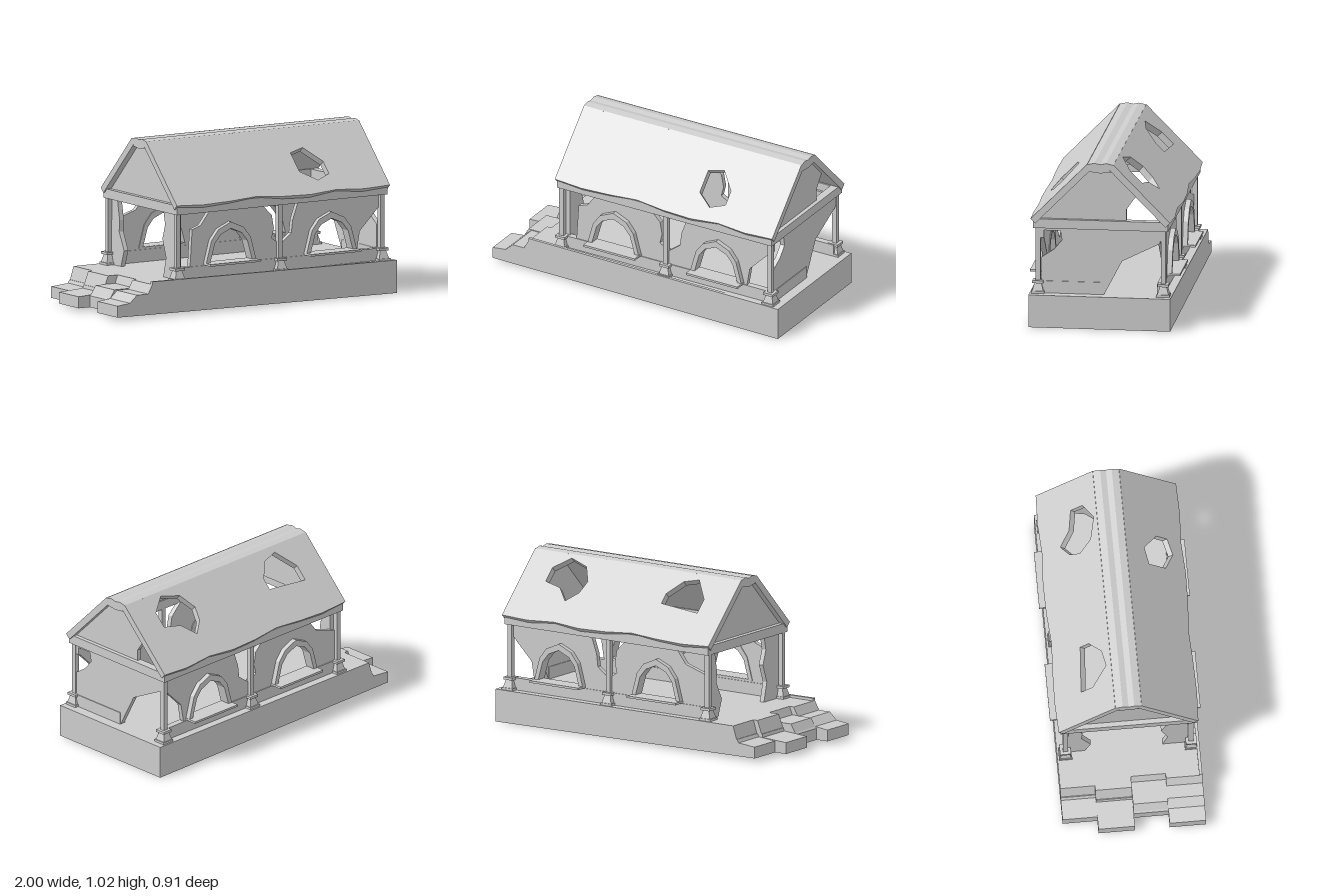
import * as THREE from 'three';

const material = new THREE.MeshStandardMaterial({ color: 0xcccccc, flatShading: true, side: THREE.DoubleSide });

function add(parent, name, geometry, x = 0, y = 0, z = 0) {
  const mesh = new THREE.Mesh(geometry, material);
  mesh.name = name;
  mesh.position.set(x, y, z);
  parent.add(mesh);
  return mesh;
}

// Box given by its lower and upper corners
function block(parent, name, [x0, y0, z0], [x1, y1, z1]) {
  return add(parent, name, new THREE.BoxGeometry(x1 - x0, y1 - y0, z1 - z0),
    (x0 + x1) / 2, (y0 + y1) / 2, (z0 + z1) / 2);
}

const path = (pts, Type = THREE.Shape) => new Type(pts.map(([x, y]) => new THREE.Vector2(x, y)));

function slab(outline, depth, holes = []) {
  const shape = path(outline);
  shape.holes = holes.map((h) => path(h, THREE.Path));
  return new THREE.ExtrudeGeometry(shape, { depth, bevelEnabled: false });
}

// Slab drawn in (z, y) and standing across x, its outer face at x
const crossSlab = (outline, x, depth) => slab(outline, depth).rotateY(-Math.PI / 2).translate(x, 0, 0);

// Hollow platform: stair profiles lofted across four staggered rows
function buildBase(group) {
  // outer edge, tread end, tread 2 start, tread 2 end, platform edge, second tread height
  const rows = [
    [-0.92, -0.80, -0.79, -0.785, -0.76, 0.12],
    [-1.00, -0.83, -0.825, -0.82, -0.79, 0.12],
    [-0.92, -0.91, -0.88, -0.74, -0.72, 0.15],
    [-1.00, -0.91, -0.86, -0.78, -0.75, 0.145],
  ];
  const profiles = rows.map(([o, a, b, c, d, h]) =>
    [[o, 0.02], [o, 0.09], [a, 0.1], [b, h], [c, h], [d, 0.2], [1, 0.2], [1, 0]]);
  const zs = [-0.43, -0.22, 0, 0.21, 0.43];
  const sections = profiles.flatMap((p, i) => [zs[i], zs[i + 1]].map((z) => p.map(([x, y]) => [x, y, z])));
  const positions = [], index = [], n = 8;
  sections.forEach((s, i) => {
    s.forEach((p) => positions.push(...p));
    if (!i) return;
    for (let j = 0; j < n - 1; j++) {
      const a = (i - 1) * n + j, b = i * n + j;
      index.push(a, b, a + 1, b, b + 1, a + 1);
    }
  });
  const shell = new THREE.BufferGeometry();
  shell.setAttribute('position', new THREE.Float32BufferAttribute(positions, 3));
  shell.setIndex(index);
  shell.computeVertexNormals();
  add(group, 'platformAndSteps', shell);
  const back = new THREE.ShapeGeometry(path(profiles[0])).rotateY(Math.PI).scale(-1, 1, 1);
  const backIndex = back.index.array;
  for (let i = 0; i < backIndex.length; i += 3) {
    [backIndex[i], backIndex[i + 1]] = [backIndex[i + 1], backIndex[i]];
  }
  // keep the back plate facing outward
  back.computeVertexNormals();
  if (back.attributes.normal.getZ(0) > 0) back.index.array.reverse();
  back.computeVertexNormals();
  add(group, 'platformBack', back, 0, 0, -0.43);
  add(group, 'platformFront', new THREE.ShapeGeometry(path(profiles[3])), 0, 0, 0.43);
  add(group, 'platformLip', slab([[-0.75, 0.19], [0.95, 0.19], [0.95, 0.201], [-0.75, 0.217]], 0.019), 0, 0, 0.411);
}

// Pointed arch outline around x = 0, standing on y
const arch = (half, y, top) => {
  const right = [[half, y], [half * 0.78, y + (top - y) * 0.58], [half * 0.5, y + (top - y) * 0.84]];
  return [...right, [0, top], ...right.map(([x, v]) => [-x, v]).reverse()];
};
const shift = (pts, dx) => pts.map(([x, y]) => [x + dx, y]);
const windowXs = [-0.17, 0.55];

// Long walls with broken edges, arched windows and sills
function buildSide(group, sign) {
  const name = sign > 0 ? 'front' : 'back';
  const leftEdge = sign > 0 ? [[-0.43, 0.5], [-0.45, 0.2]] : [[-0.53, 0.47], [-0.53, 0.2]];
  const outline = [
    [0.93, 0.2], [0.93, 0.275], [0.75, 0.275], [0.77, 0.39], [0.91, 0.53], [0.93, 0.54], [0.93, 0.61],
    [0.33, 0.61], [0.29, 0.5], [0.28, 0.42], [0.2, 0.36], [0.14, 0.4], [0.155, 0.46], [0.14, 0.54], [0.07, 0.61],
    [-0.3, 0.61], [-0.37, 0.52], ...leftEdge,
  ];
  const holes = windowXs.map((x) => shift(arch(0.15, 0.29, 0.49), x));
  add(group, name + 'Wall', slab(outline, 0.03, holes), 0, 0, sign * 0.36 - 0.015);
  block(group, name + 'Curb', [-0.53, 0.2, sign * 0.36 - 0.02], [0.93, 0.275, sign * 0.36 + 0.02]);
  for (const x of windowXs) {
    add(group, name + 'WindowFrame', slab(arch(0.18, 0.285, 0.53), 0.065, [arch(0.15, 0.29, 0.49)]),
      x, 0, sign * 0.373 - 0.0325);
    block(group, name + 'Sill', [x - 0.18, 0.278, sign * 0.4 - 0.055], [x + 0.18, 0.291, sign * 0.4 + 0.055]);
  }
  // Columns on flared pedestals
  for (const x of [-0.54, 0.19, 0.92]) {
    const column = new THREE.Group();
    column.name = name + 'Column';
    column.position.set(x, 0, sign * 0.38);
    group.add(column);
    block(column, 'shaft', [-0.015, 0.27, -0.015], [0.015, 0.61, 0.015]);
    block(column, 'foot', [-0.04, 0.2, -0.04], [0.04, 0.214, 0.04]);
    const flare = new THREE.CylinderGeometry(0.02 * Math.SQRT2, 0.035 * Math.SQRT2, 0.052, 4).rotateY(Math.PI / 4);
    add(column, 'pedestal', flare, 0, 0.238, 0);
    block(column, 'cap', [-0.033, 0.262, -0.033], [0.033, 0.278, 0.033]);
  }
  block(group, name + 'Beam', [-0.56, 0.603, sign * 0.385 - 0.025], [0.945, 0.66, sign * 0.385 + 0.025]);
}

// Broken end walls, gables and cross beams
function buildEnds(group) {
  add(group, 'rightEndWall', crossSlab([
    [-0.02, 0.2], [0.36, 0.2], [0.36, 0.42], [0.285, 0.47], [0.235, 0.53], [0.245, 0.587], [0.36, 0.587], [0.36, 0.61],
    [-0.36, 0.61], [-0.36, 0.525], [-0.13, 0.41]], 0.93, 0.03));
  block(group, 'rightEndCurb', [0.895, 0.2, -0.02], [0.935, 0.275, 0.36]);
  add(group, 'leftEndWallBack', crossSlab([
    [-0.36, 0.2], [-0.26, 0.2], [-0.225, 0.3], [-0.28, 0.41], [-0.275, 0.48], [-0.3, 0.61], [-0.36, 0.61]], -0.5, 0.03));
  add(group, 'leftEndWallFront', crossSlab([
    [0.36, 0.2], [0.36, 0.61], [0.21, 0.61], [0.23, 0.52], [0.2, 0.43], [0.24, 0.32], [0.21, 0.2]], -0.5, 0.03));
  add(group, 'rightGable', crossSlab([
    [0.38, 0.65], [0.07, 0.965], [0, 0.96], [-0.07, 0.965], [-0.215, 0.815], [-0.155, 0.73], [-0.155, 0.65]], 0.92, 0.03));
  add(group, 'leftGable', crossSlab([
    [0.38, 0.65], [0.07, 0.965], [0, 0.96], [-0.07, 0.965], [-0.38, 0.65]], -0.5, 0.03));
  for (const x of [-0.535, 0.92]) {
    block(group, 'endBeam', [x - 0.025, 0.603, -0.41], [x + 0.025, 0.66, 0.41]);
  }
}

// Roof slopes with holes, ragged eaves and a ridge cap; outlines are (x, distance from the ridge line)
function buildRoof(group) {
  const angle = Math.atan2(0.35, 0.345);
  const eave = [0.422, 0.43, 0.425, 0.415, 0.428, 0.432, 0.42, 0.43, 0.424];
  const slopes = {
    front: [[[0.38, 0.21], [0.48, 0.19], [0.575, 0.27], [0.575, 0.335], [0.48, 0.362], [0.38, 0.31]]],
    back: [
      [[0.48, 0.2], [0.5, 0.26], [0.57, 0.31], [0.65, 0.25], [0.77, 0.23], [0.77, 0.16], [0.67, 0.1], [0.54, 0.13]],
      [[-0.38, 0.27], [-0.1, 0.25], [-0.1, 0.2], [-0.18, 0.13], [-0.28, 0.11], [-0.38, 0.2]],
    ],
  };
  for (const [name, holes] of Object.entries(slopes)) {
    const side = name === 'front' ? 1 : -1;
    const flat = (pts) => pts.map(([x, d]) => [side * x, (0.08 - d) / Math.cos(angle)]);
    const edge = eave.map((d, i) => [-0.57 + (1.525 * i) / (eave.length - 1), d]);
    const outline = flat([[0.955, 0.08], [-0.57, 0.08], ...edge]);
    const panel = slab(outline, 0.04, holes.map(flat)).translate(0, 0, -0.04).rotateX(angle - Math.PI / 2);
    panel.translate(0, 1.01, 0.08);
    if (side < 0) panel.rotateY(Math.PI);
    add(group, name + 'RoofSlope', panel);
  }
  add(group, 'ridgeCap', crossSlab([
    [0.082, 1.008], [0.035, 1.018], [0, 1.01], [-0.035, 1.018], [-0.082, 1.008],
    [-0.055, 0.977], [-0.068, 0.965], [0, 0.956], [0.068, 0.965], [0.055, 0.977]], 0.955, 1.525));
}

export function createModel() {
  const group = new THREE.Group();
  group.name = 'ruinedHouse';
  buildBase(group);
  buildSide(group, 1);
  buildSide(group, -1);
  buildEnds(group);
  buildRoof(group);
  return group;
}
